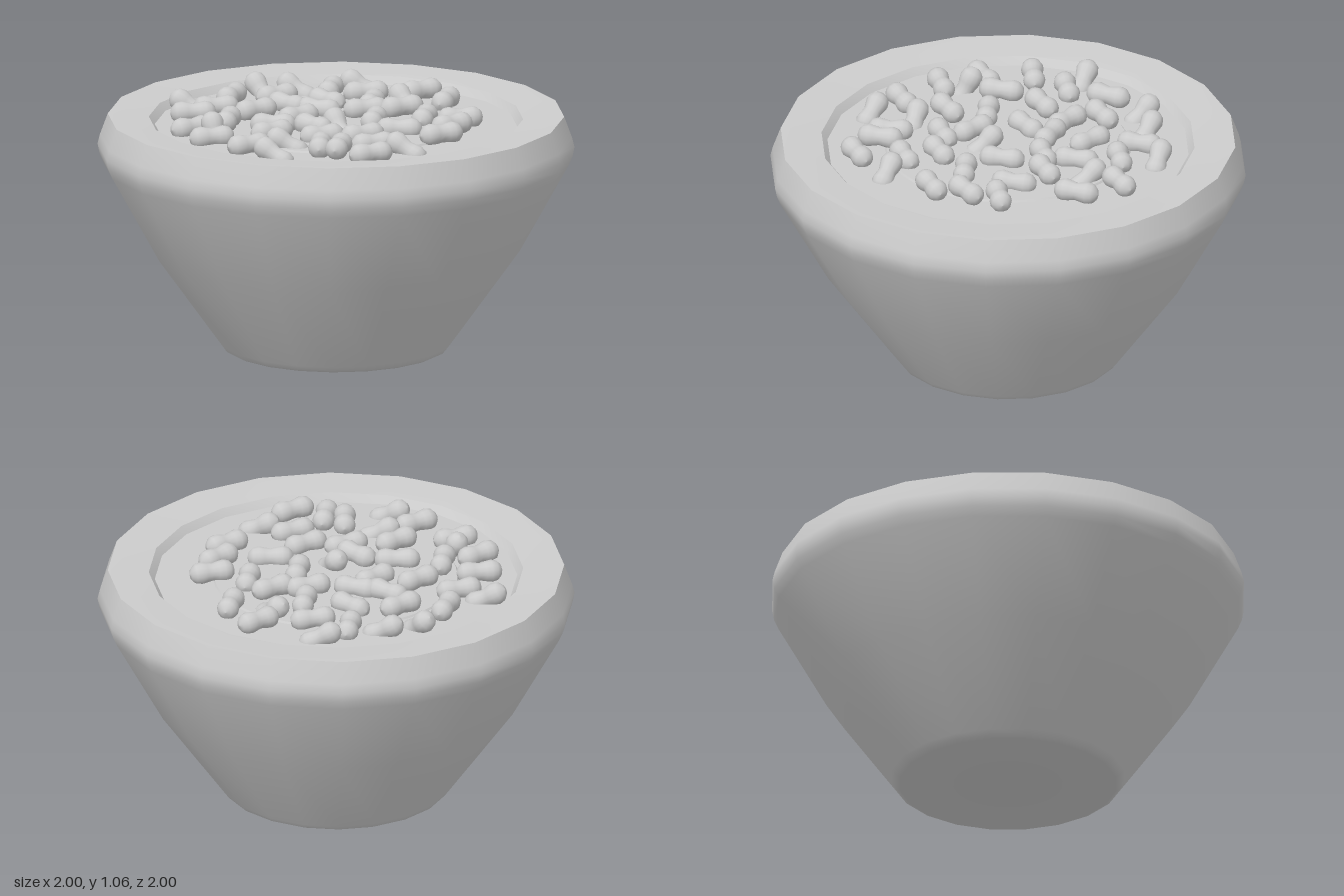
import * as THREE from 'three';
import { toCreasedNormals } from 'three/addons/utils/BufferGeometryUtils.js';

const material = new THREE.MeshStandardMaterial({ color: 0xcccccc });
const lathe = (points, sides) =>
  new THREE.LatheGeometry(points.map(([r, y]) => new THREE.Vector2(r, y)), sides);

// Nuts lying flat: x, z, heading in degrees
const LYING = [
  [-0.04, -0.55, 80], [0.11, -0.48, 15], [0.34, -0.5, 35], [-0.26, -0.37, 35],
  [-0.05, -0.34, -45], [0.14, -0.3, 80], [-0.21, -0.23, -40], [-0.34, -0.11, 35],
  [-0.16, -0.06, 40], [-0.08, -0.17, -20], [0.12, -0.16, 20], [0.27, -0.18, 30],
  [0.37, -0.06, 80], [0.16, 0.01, 80], [0.52, -0.01, 15], [0.49, 0.13, 40],
  [0.27, 0.155, 0], [-0.26, 0.11, 0], [-0.09, 0.155, -45], [-0.26, 0.28, 35],
  [-0.05, 0.28, 25], [0.12, 0.28, 30], [0.45, 0.28, 30], [-0.6, -0.05, 10],
  [-0.6, 0.16, 35], [-0.51, -0.2, 15], [-0.45, -0.38, 70], [-0.45, 0.07, 80],
  [-0.51, 0.33, 20], [-0.35, 0.48, 30], [-0.05, 0.5, 88], [0.03, 0.535, 80],
  [0.17, 0.42, 25], [0.165, 0.62, 30], [0.45, -0.33, 75],
];

// Nuts with one end raised: x, z, heading, tilt in degrees
const TILTED = [
  [-0.33, -0.53, -50, 40], [-0.18, -0.57, -20, 30], [0.085, -0.64, -10, 30],
  [0.28, -0.36, -50, 35], [-0.62, -0.26, -15, 30], [0.015, 0.1, -60, 40],
  [-0.5, 0.225, -60, 60], [-0.19, 0.41, -10, 30], [0.31, 0.48, -20, 30],
  [-0.24, 0.595, -25, 30],
];

export function createModel() {
  const model = new THREE.Group();

  // Twenty-sided bowl: base, flared wall, rounded rim and shallow floor
  const bowlProfile = [
    [0, 0], [0.455, 0], [0.475, 0.01], [0.49, 0.03], [0.77, 0.42], [0.975, 0.79],
    [0.992, 0.83], [1, 0.87], [0.99, 0.91], [0.957, 1], [0.91, 0.998],
    [0.785, 0.988], [0.76, 0.956], [0, 0.955],
  ];
  const bowl = new THREE.Mesh(toCreasedNormals(lathe(bowlProfile, 20), 0.6), material);
  bowl.name = 'bowl';
  model.add(bowl);

  // Slightly raised round bed in the middle of the floor
  const bed = new THREE.Mesh(
    toCreasedNormals(lathe([[0.52, 0.95], [0.51, 0.963], [0, 0.963]], 40), 0.4), material);
  bed.name = 'innerBed';
  model.add(bed);

  // Two-lobed nut, long axis along x
  const nutProfile = [
    [0, -0.098], [0.024, -0.091], [0.042, -0.074], [0.048, -0.05], [0.043, -0.025],
    [0.037, 0], [0.042, 0.025], [0.047, 0.05], [0.041, 0.074], [0.024, 0.091], [0, 0.098],
  ];
  const nutGeometry = lathe(nutProfile, 14).rotateZ(-Math.PI / 2);

  const nuts = new THREE.Group();
  nuts.name = 'nuts';
  [...LYING, ...TILTED].forEach(([x, z, heading, tilt = 0], i) => {
    const nut = new THREE.Mesh(nutGeometry, material);
    nut.name = 'nut' + (i + 1);
    nut.position.set(x, tilt ? 0.97 : 0.98 + 0.005 * (i % 4), z);
    nut.rotation.set(0, THREE.MathUtils.degToRad(heading), -THREE.MathUtils.degToRad(tilt));
    nuts.add(nut);
  });
  model.add(nuts);

  return model;
}
